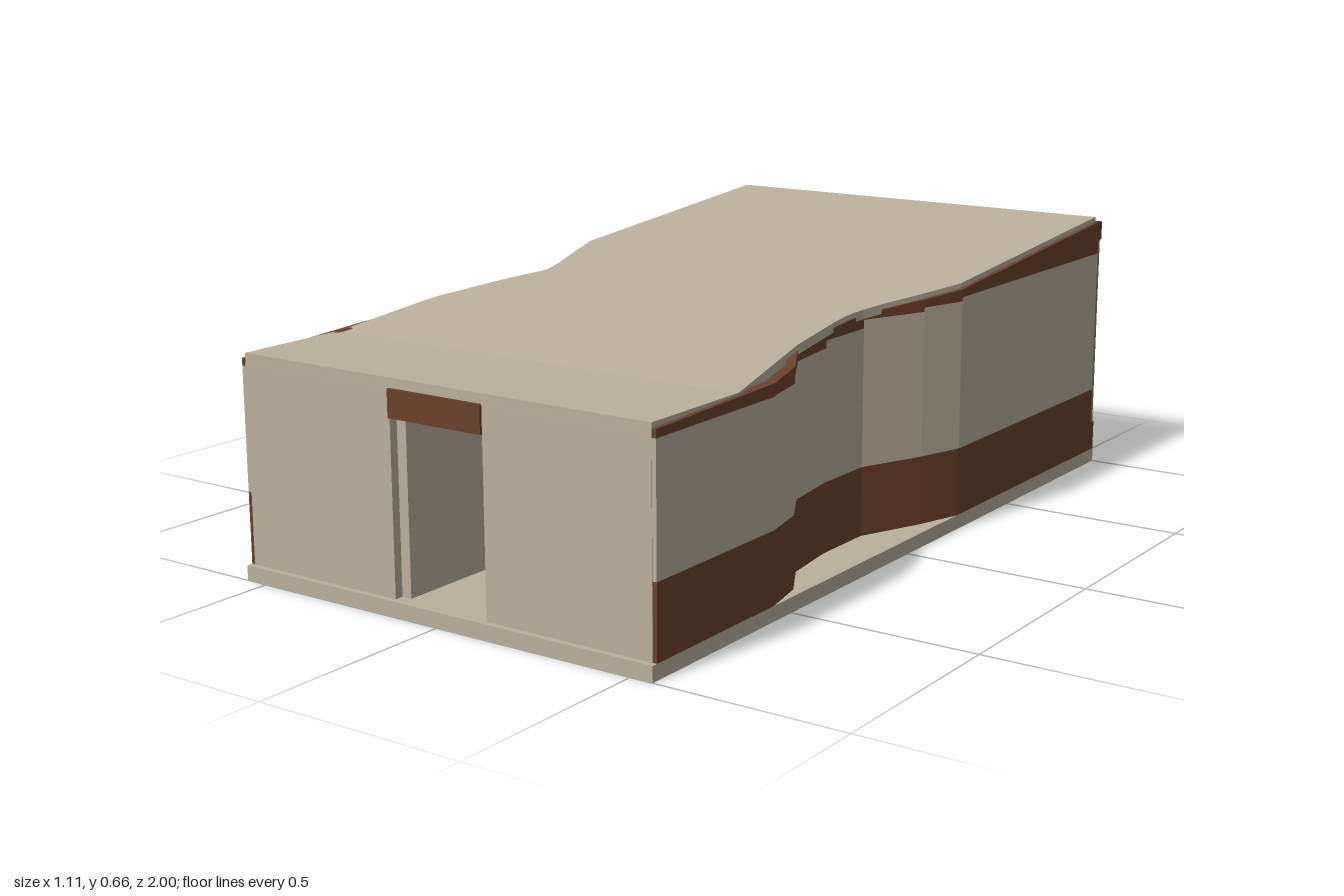
import * as THREE from 'three';

const mat = (name, hex) => {
  const m = new THREE.MeshStandardMaterial({ color: hex });
  m.name = name;
  return m;
};

export function createModel() {
  const house = new THREE.Group();
  house.name = 'pavilion';
  const plaster = mat('warm plaster', 0xbab09c);
  const wood = mat('dark wood', 0x6b402b);
  const glass = mat('window glass', 0x566871);
  const timber = mat('pale timber', 0x8f7b52);

  const add = (name, geometry, material, parent = house) => {
    const mesh = new THREE.Mesh(geometry, material);
    mesh.name = name;
    parent.add(mesh);
    return mesh;
  };
  // Box given by its extents
  const box = (name, material, x0, x1, y0, y1, z0, z1, parent) => {
    const mesh = add(name, new THREE.BoxGeometry(x1 - x0, y1 - y0, z1 - z0), material, parent);
    mesh.position.set((x0 + x1) / 2, (y0 + y1) / 2, (z0 + z1) / 2);
    return mesh;
  };
  // Rectangular section swept through rows {z, x0, x1, y0, y1}, back to front
  const loft = (rows) => {
    const n = rows.length - 1;
    const g = new THREE.BoxGeometry(1, 1, 1, 1, 1, n).toNonIndexed();
    const p = g.attributes.position;
    for (let i = 0; i < p.count; i++) {
      const r = rows[Math.round((p.getZ(i) + 0.5) * n)];
      p.setXYZ(i, p.getX(i) < 0 ? r.x0 : r.x1, p.getY(i) < 0 ? r.y0 : r.y1, r.z);
    }
    g.computeVertexNormals();
    return g;
  };

  // Roof height: flat at the front, rising to the back
  const roofTop = (z) => 0.515 + Math.max(0, 0.69 - z) * 0.0868;

  // Floor slab
  box('floorSlab', plaster, -0.555, 0.555, 0, 0.035, -1, 1);

  // Roof with a pinched waist: z, left edge, right edge
  const roofPlan = [
    [-0.98, -0.545, 0.545], [-0.24, -0.545, 0.545], [-0.11, -0.505, 0.505],
    [-0.02, -0.475, 0.474], [0.05, -0.459, 0.455], [0.1, -0.475, 0.447],
    [0.16, -0.495, 0.449], [0.35, -0.54, 0.47], [0.4, -0.545, 0.481],
    [0.69, -0.545, 0.545], [0.985, -0.545, 0.545],
  ];
  add('roof', loft(roofPlan.map(([z, x0, x1]) =>
    ({ z, x0, x1, y0: roofTop(z) - 0.022, y1: roofTop(z) }))), plaster);

  // Side walls: z, distance from centre, height where the plaster stops (towards the front)
  const sides = {
    right: { sign: 1, plan: [
      [-0.98, 0.555, 0.565], [-0.235, 0.555, 0.555], [-0.12, 0.518, 0.545],
      [0.04, 0.451, 0.525], [0.2, 0.45, 0.508], [0.35, 0.47, 0.505],
      [0.455, 0.53, 0.487], [0.57, 0.555, 0.485], [0.985, 0.555, 0.485],
    ] },
    left: { sign: -1, plan: [
      [-0.98, 0.555, 0.565], [-0.22, 0.555, 0.55], [-0.12, 0.507, 0.54],
      [0.04, 0.462, 0.53], [0.12, 0.472, 0.515], [0.25, 0.54, 0.5],
      [0.38, 0.555, 0.485], [0.985, 0.555, 0.485],
    ] },
  };
  for (const [side, { sign, plan }] of Object.entries(sides)) {
    const wall = new THREE.Group();
    wall.name = side + 'Wall';
    house.add(wall);
    // Doubled rows make the stepped top of the plaster
    const stepped = plan.flatMap(([z, d, h], i) =>
      i === 0 ? [[z, d, h]] : [[z, d, plan[i - 1][2]], [z, d, h]]).slice(0, -1);
    const band = (name, material, rows, low, high, thick) =>
      add(name, loft(rows.map(([z, d, h]) => ({
        z,
        x0: sign > 0 ? d - thick : -d,
        x1: sign > 0 ? d : thick - d,
        y0: low(z, h),
        y1: high(z, h),
      }))), material, wall);
    band('lowerBand', wood, plan, () => 0.035, () => 0.2, 0.02);
    band('plasterBand', plaster, stepped, () => 0.2, (z, h) => h, 0.02);
    band('fascia', wood, stepped, (z, h) => h, (z) => roofTop(z) - 0.012, 0.025);
  }

  // Front wall either side of the doorway
  for (const s of [-1, 1]) {
    const x = [s * 0.125, s * 0.545].sort((a, b) => a - b);
    box('frontWall', plaster, x[0], x[1], 0.035, 0.493, 0.965, 0.986);
  }
  box('doorLintel', wood, -0.125, 0.125, 0.43, 0.493, 0.97, 0.992);
  box('entryPartition', plaster, -0.125, -0.1, 0.035, 0.493, 0.3, 0.965);

  // Glazed back wall
  box('backSill', wood, -0.555, 0.555, 0.035, 0.11, -0.998, -0.98);
  box('backHeader', wood, -0.555, 0.555, 0.6, 0.647, -1, -0.98);
  box('backGlass', glass, -0.54, 0.54, 0.11, 0.6, -0.988, -0.982);
  for (const x of [-0.543, 0, 0.543]) {
    box('mullion', timber, x - 0.01, x + 0.01, 0.11, 0.6, -0.995, -0.975);
  }

  // Table inside
  const table = new THREE.Group();
  table.name = 'table';
  house.add(table);
  box('tableTop', wood, -0.11, 0.11, 0.15, 0.161, -0.5, 0, table);
  box('tableRail', wood, -0.1, -0.05, 0.144, 0.15, -0.49, -0.01, table);
  box('tableEnd', plaster, -0.1, -0.08, 0.035, 0.144, -0.49, -0.01, table);
  for (const z of [-0.48, -0.02]) {
    box('tableLeg', timber, 0.086, 0.102, 0.035, 0.15, z - 0.008, z + 0.008, table);
  }
  return house;
}
